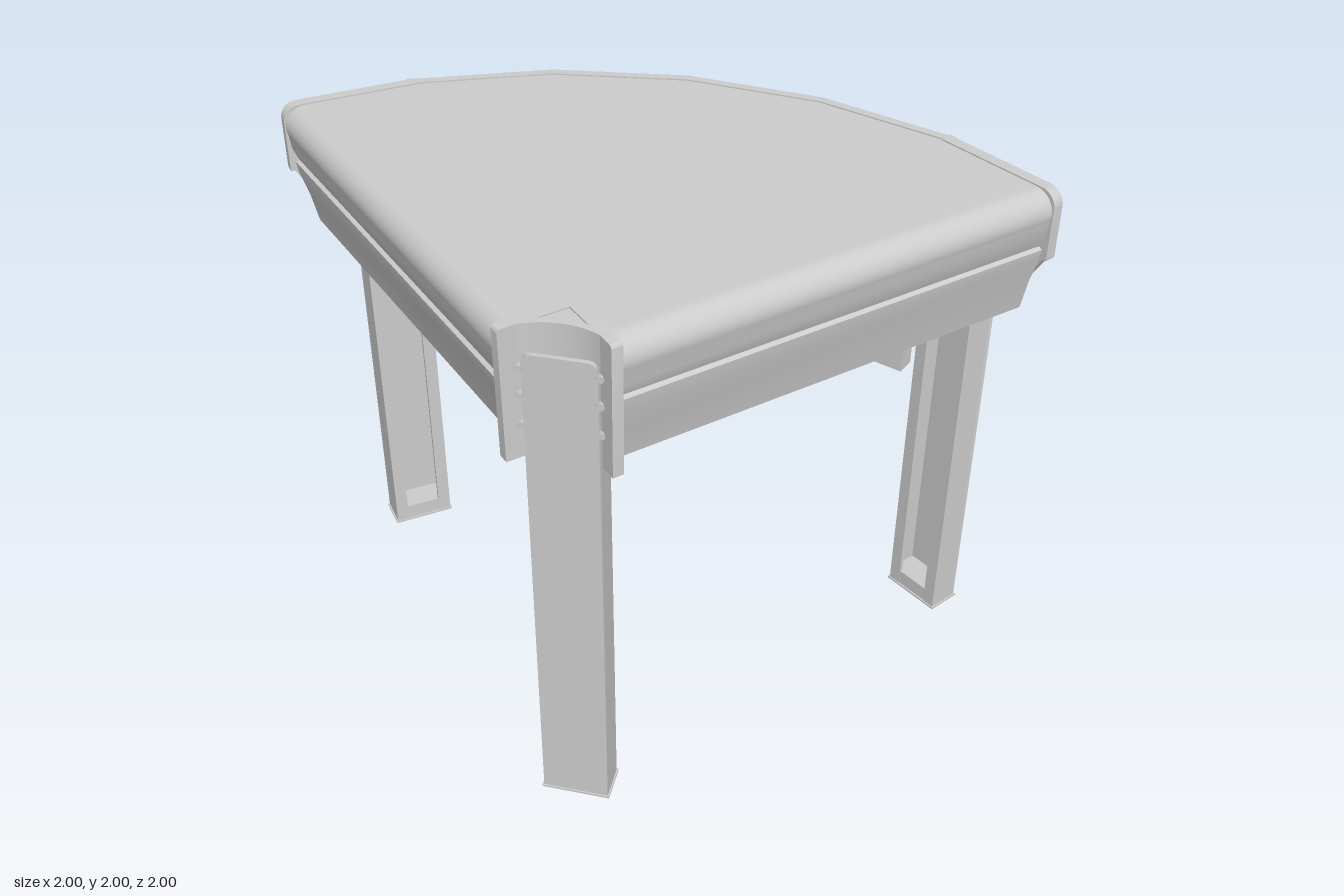
import * as THREE from 'three';
import { toCreasedNormals } from 'three/addons/utils/BufferGeometryUtils.js';

const rad = THREE.MathUtils.degToRad;
const mat = new THREE.MeshStandardMaterial({ color: 0xcccccc });

export function createModel() {
  const model = new THREE.Group();
  model.name = 'curvedConveyor';
  // Everything is laid out around the centre of the 90 degree bend.
  const bend = new THREE.Group();
  bend.name = 'bend';
  bend.position.set(-1, 0, 1);
  model.add(bend);

  const add = (name, geo, parent = bend) => {
    const mesh = new THREE.Mesh(geo, mat);
    mesh.name = name;
    parent.add(mesh);
    return mesh;
  };
  const extrude = (pts, depth) => new THREE.ExtrudeGeometry(
    new THREE.Shape(pts.map(([x, y]) => new THREE.Vector2(x, y))), { depth, bevelEnabled: false });

  // Frame turned to an angle of the bend: +x radial outwards, u = -z along the bend.
  const frame = (name, deg) => {
    const g = new THREE.Group();
    g.name = name;
    g.rotation.y = rad(deg);
    bend.add(g);
    return g;
  };
  // Outline in (u, y), thickened along the radial axis from r0 to r1.
  const slab = (name, parent, pts, r0, r1, s = 1) => {
    let geo = extrude(pts.map(([u, y]) => [u * s, y]), r1 - r0);
    geo.rotateY(Math.PI / 2).translate(r0, 0, 0);
    return add(name, toCreasedNormals(geo, rad(28)), parent);
  };
  const rect = (u0, u1, y0, y1) => [[u0, y0], [u1, y0], [u1, y1], [u0, y1]];
  const arc = (cx, cy, r, a0, a1, n = 8) => Array.from({ length: n + 1 }, (_, i) => {
    const a = rad(a0 + (a1 - a0) * i / n);
    return [cx + r * Math.cos(a), cy + r * Math.sin(a)];
  });
  // Horizontal plan outline extruded between two heights.
  const plan = (name, pts, y0, y1) => {
    const geo = extrude(pts, y1 - y0);
    geo.rotateX(-Math.PI / 2).translate(0, y0, 0);
    return add(name, toCreasedNormals(geo, rad(14)));
  };

  // Main deck between the two belt ends
  plan('deck', [[1.96, 0.15], ...arc(0, 0, 1.98, 15, 75, 4), [0.15, 1.96],
    [0.15, 0.24], ...arc(0, 0, 0.28, 57, 33, 6), [0.24, 0.15]], 1.51, 1.995);

  // Faceted outer wall as four bands with grooves between them
  for (const [y0, y1] of [[1.51, 1.63], [1.655, 1.755], [1.78, 1.84], [1.865, 2]])
    plan('outerWallBand', [...arc(0, 0, 2, 15, 75, 4), ...arc(0, 0, 1.965, 75, 15, 4)], y0, y1);

  // Rounded inner guide
  plan('innerGuide', [...arc(0, 0, 0.285, 12, 78, 16), ...arc(0, 0, 0.26, 78, 12, 16)], 1.51, 2);

  // Channel leg: tall web with rounded top, flanges and lips (dir = side the channel opens to)
  const leg = (deg, r, u, dir) => {
    const g = frame('leg', deg);
    const w = 0.119, d = 0.127;
    const bar = (name, pts, a, b) =>
      slab(name, g, pts.map(([x, y]) => [x + u, y]), r + dir * (dir > 0 ? a : b), r + dir * (dir > 0 ? b : a));
    bar('legWeb', [[-w, 0], [w, 0], ...arc(w - 0.03, 1.87, 0.03, 0, 90, 5),
      ...arc(0.03 - w, 1.87, 0.03, 90, 180, 5)], 0, 0.016);
    for (const s of [-1, 1]) {
      bar('legFlange', rect(s * w, s * (w - 0.014), 0, 1.515), 0.016, d);
      bar('legLip', rect(s * (w - 0.014), s * (w - 0.05), 0, 1.515), d - 0.014, d);
    }
    bar('foot', rect(0.014 - w, w - 0.014, 0, 0.07), 0.016, d - 0.002);
    bar('footPad', rect(-w - 0.006, w + 0.006, 0, 0.008), -0.005, d + 0.005);
    return g;
  };
  leg(7.5, 2.003, 0.1, -1);
  leg(82.5, 2.003, -0.1, -1);
  const innerLeg = leg(45, 0.219, 0, 1);

  // Bolts beside the inner leg
  for (const y of [1.64, 1.75, 1.85]) for (const s of [-1, 1]) {
    const bolt = add('bolt', new THREE.CylinderGeometry(0.014, 0.014, 0.04, 6), innerLeg);
    bolt.rotation.z = Math.PI / 2;
    bolt.position.set(0.232, y, s * 0.128);
  }

  // Both belt ends, one at each end of the bend
  for (const [deg, s] of [[0, 1], [90, -1]]) {
    const end = frame('beltEnd', deg);
    slab('beltRoll', end, [[0.16, 1.995], ...arc(0.09, 1.915, 0.08, 90, 200, 14),
      [0.022, 1.83], [0.04, 1.785], [0.16, 1.785]], 0.285, 1.96, s);
    slab('lowerPanel', end, [[0.16, 1.785], [0.045, 1.785], [0.028, 1.775], [0.035, 1.73],
      [0.065, 1.63], [0.09, 1.51], [0.16, 1.51]], 0.285, 1.955, s);
    slab('innerEndPlate', end, [[0.01, 1.51], ...arc(0.02, 1.985, 0.015, 180, 90, 4),
      [0.25, 2], [0.25, 1.51]], 0.25, 0.29, s);

    // Outer side cheek: proud rounded cap above a slanted lower plate
    const cheek = frame('sideCheek', deg + s * 7.5);
    slab('cheekCap', cheek, [[-0.25, 1.74], [0.261, 1.74], [0.261, 2],
      ...arc(-0.19, 1.94, 0.06, 90, 180, 8)], 1.942, 1.986, s);
    slab('cheekPlate', cheek, [[-0.235, 1.74], [-0.1, 1.51], [0.261, 1.51], [0.261, 1.74]], 1.945, 1.978, s);
    slab('cheekEdge', cheek, rect(0.235, 0.265, 1.51, 2), 1.95, 1.99, s);
  }

  // Drive under the deck: bracket, gearbox and motor
  const drive = frame('drive', 22.5);
  slab('driveBracket', drive, [[-0.255, 1.51], [-0.255, 1.085], [-0.06, 1.085],
    [0.2, 1.17], [0.2, 1.51]], 1.8, 1.875);
  slab('gearbox', drive, rect(-0.12, 0.11, 1.18, 1.5), 1.55, 1.8);
  const disc = (name, r, r0, r1, u, y = 1.31, sides = 24) => {
    const m = add(name, new THREE.CylinderGeometry(r, r, r1 - r0, sides), drive);
    m.rotation.z = Math.PI / 2;
    m.position.set((r0 + r1) / 2, y, -u);
  };
  disc('gearboxFlange', 0.13, 1.72, 1.78, 0);
  disc('motorFlange', 0.12, 1.51, 1.55, 0);
  disc('motorCollar', 0.095, 1.47, 1.51, 0);
  disc('motorBody', 0.065, 1.42, 1.47, 0);
  disc('shaftEnd', 0.045, 1.39, 1.42, 0);
  // Cooling fins and fixing rods at the rear side of the motor
  for (let i = 0; i < 9; i++)
    slab('coolingFin', drive, rect(0.08, 0.17, 1.25 + i * 0.015, 1.254 + i * 0.015), 1.36, 1.5);
  for (const y of [1.25, 1.4]) slab('fixingRod', drive, rect(0.08, 0.22, y - 0.005, y + 0.005), 1.42, 1.48);
  for (const [y, h] of [[1.47, 0.03], [1.435, 0.03]])
    slab('terminalBlock', drive, rect(0.1, 0.22, y - h / 2, y + h / 2), 1.43, 1.52);

  return model;
}
